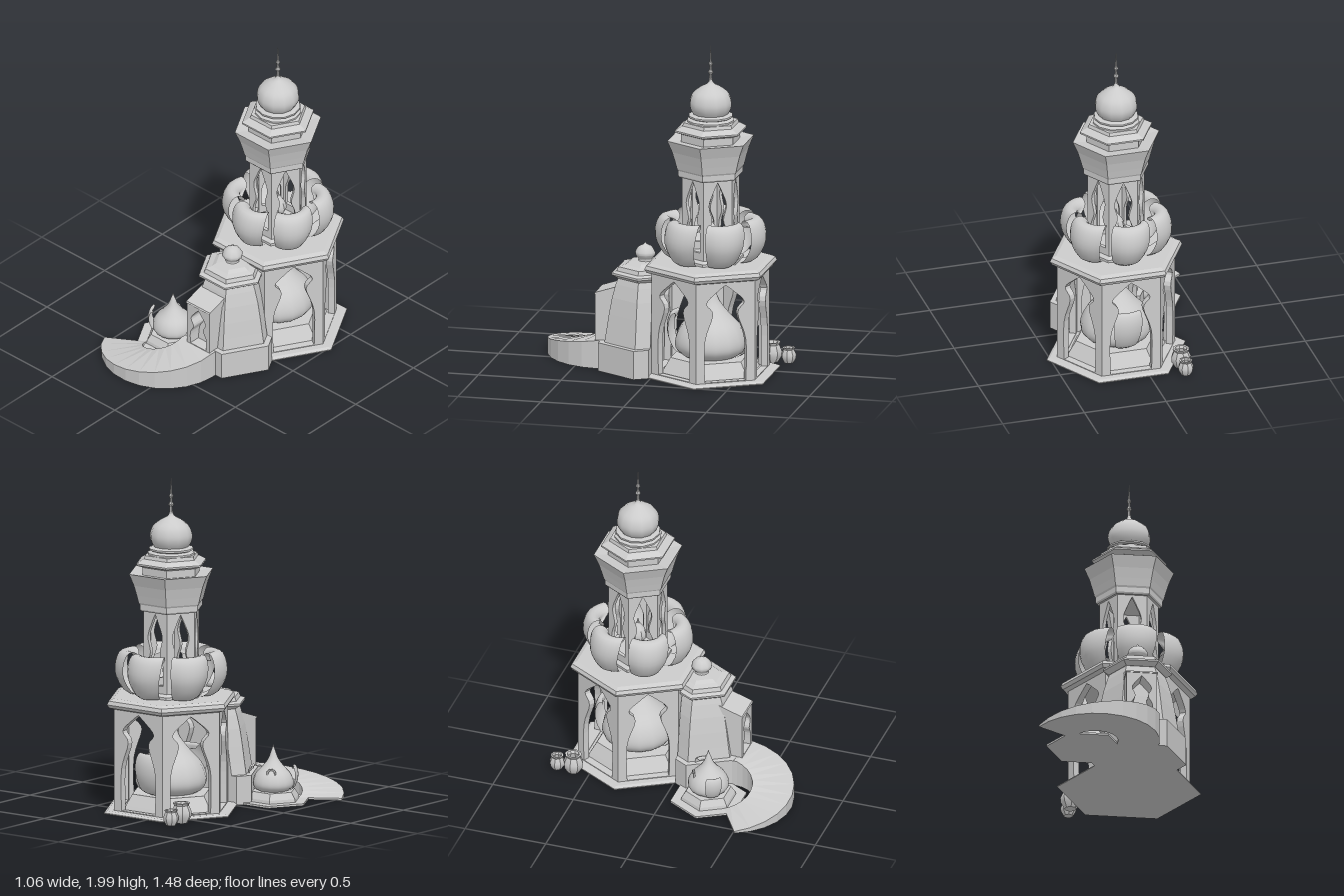
import * as THREE from 'three';
import { toCreasedNormals } from 'three/addons/utils/BufferGeometryUtils.js';

const flat = new THREE.MeshStandardMaterial({ color: 0xcccccc, flatShading: true, side: THREE.DoubleSide });
const smooth = new THREE.MeshStandardMaterial({ color: 0xcccccc, side: THREE.DoubleSide });
const v2 = (list) => list.map(([x, y]) => new THREE.Vector2(x, y));

function add(parent, name, geometry, material = flat) {
  const mesh = new THREE.Mesh(geometry, material);
  mesh.name = name;
  parent.add(mesh);
  return mesh;
}

function group(parent, name, x = 0, y = 0, z = 0) {
  const g = new THREE.Group();
  g.name = name;
  g.position.set(x, y, z);
  parent.add(g);
  return g;
}

// Six-sided solid of [radius, y] rings with corners on the x axis
const hex = (profile) => new THREE.LatheGeometry(v2(profile), 6, Math.PI / 6);

// Round solid through a smooth [radius, y] profile
function round(profile, sides = 12, steps = 20) {
  const pts = new THREE.SplineCurve(v2(profile)).getPoints(steps);
  pts.forEach((p) => { p.x = Math.max(p.x, 0); });
  return toCreasedNormals(new THREE.LatheGeometry(pts, sides), 0.7);
}

// Wall panel with a waisted, pointed arch; waist is its height as a fraction
function archPanel(width, y0, y1, half, bottom, top, waist, depth) {
  const shape = new THREE.Shape(v2([[-width / 2, y0], [width / 2, y0], [width / 2, y1], [-width / 2, y1]]));
  const rest = 1 - waist;
  const side = new THREE.SplineCurve(v2([
    [1, 0], [1, waist * 0.6], [0.6, waist], [0.92, waist + rest * 0.4], [0.4, waist + rest * 0.78], [0, 1],
  ])).getPoints(20).map((p) => new THREE.Vector2(Math.max(0, p.x) * half, bottom + p.y * (top - bottom)));
  const mirrored = side.slice(0, -1).reverse().map((p) => new THREE.Vector2(-p.x, p.y));
  shape.holes.push(new THREE.Path([...side, ...mirrored]));
  return new THREE.ExtrudeGeometry(shape, { depth, bevelEnabled: false });
}

function archedWalls(parent, name, radius, depth, ...arch) {
  const panel = archPanel(radius, ...arch, depth);
  panel.translate(0, 0, radius * Math.sqrt(0.75) - depth);
  for (let i = 0; i < 6; i++) add(parent, name, panel).rotation.y = i * Math.PI / 3;
}

// Curled petal: [radius, y] profile swept through a varying angle
function petalGeometry(profile, halfAngle, cup, lean) {
  const curve = new THREE.SplineCurve(v2(profile));
  const g = new THREE.PlaneGeometry(2, 1, 8, 18);
  const p = g.attributes.position;
  for (let i = 0; i < p.count; i++) {
    const u = p.getX(i), v = Math.min(1, Math.max(0, p.getY(i) + 0.5));
    const c = curve.getPoint(v);
    const width = halfAngle * (0.7 + 0.6 * v) * Math.sqrt(Math.max(0, 1 - v ** 3));
    const a = u * width + lean * v * v;
    const r = c.x - cup * u * u * (1 - 0.5 * v);
    p.setXYZ(i, Math.sin(a) * r, c.y, Math.cos(a) * r);
  }
  g.computeVertexNormals();
  return g;
}

// Pointed bud with curled sepals, for a body radius of 1
function bud(parent, name, x, y, z, scale, turn) {
  const g = group(parent, name, x, y, z);
  g.scale.setScalar(scale);
  g.rotation.y = turn;
  add(g, 'budBody', round([[0, 0], [0.65, 0], [0.95, 0.2], [1, 0.48], [0.85, 0.85], [0.52, 1.22], [0.27, 1.55], [0.13, 1.9], [0, 2.3]], 16, 32), smooth);
  const sepal = petalGeometry([[0.7, 0], [1.02, 0.15], [1.2, 0.55], [1.22, 0.95], [1.12, 1.22], [1.0, 1.2], [1.02, 1.05]], 0.38, 0.04, 0.1);
  for (const a of [0, Math.PI]) add(g, 'sepal', sepal, smooth).rotation.y = a;
  return g;
}

function addPavilion(parent) {
  const g = group(parent, 'pavilion', 0.1, 0, -0.305);
  add(g, 'floorSlab', hex([[0, 0], [0.425, 0], [0.425, 0.006], [0.405, 0.016], [0, 0.016]]));
  add(g, 'budPlinth', hex([[0.3, 0.015], [0.285, 0.04], [0.245, 0.105], [0, 0.105]]));
  bud(g, 'largeBud', 0, 0.1, 0, 0.21, 0);
  archedWalls(g, 'lowerArch', 0.36, 0.04, 0.01, 0.63, 0.125, 0.02, 0.605, 0.7);
  add(g, 'balcony', hex([[0, 0.62], [0.36, 0.62], [0.392, 0.63], [0.405, 0.65], [0.395, 0.672], [0.365, 0.685], [0, 0.685]]));

  // Ring of curled petals on the balcony
  const petal = petalGeometry([[0.19, 0.685], [0.27, 0.7], [0.325, 0.79], [0.33, 0.87], [0.305, 0.935], [0.26, 0.95], [0.225, 0.92], [0.235, 0.88]], 0.46, 0.045, 0.18);
  for (let i = 0; i < 6; i++) add(g, 'petal', petal, smooth).rotation.y = i * Math.PI / 3;

  // Open lantern storey
  add(g, 'lanternFoot', hex([[0.2, 0.68], [0.2, 0.7], [0.175, 0.715], [0, 0.715]]));
  archedWalls(g, 'upperArch', 0.175, 0.022, 0.69, 1.21, 0.058, 0.76, 1.185, 0.46);
  add(g, 'lamp', round([[0, 0.71], [0.035, 0.715], [0.02, 0.77], [0.05, 0.82], [0.04, 0.87], [0.012, 0.91], [0, 0.95]], 8), smooth);

  // Flared cornice and stepped roof
  add(g, 'cornice', hex([
    [0, 1.195], [0.19, 1.195], [0.198, 1.205], [0.198, 1.235], [0.205, 1.245], [0.217, 1.29], [0.235, 1.35], [0.265, 1.42],
    [0.255, 1.42], [0.18, 1.41], [0.18, 1.455], [0.22, 1.47], [0.22, 1.48], [0.185, 1.5], [0.172, 1.505], [0.165, 1.525], [0, 1.53]]));
  add(g, 'domeCollar', toCreasedNormals(new THREE.LatheGeometry(v2([
    [0.14, 1.52], [0.14, 1.535], [0.115, 1.545], [0.132, 1.552], [0.132, 1.562], [0.1, 1.572], [0, 1.572]]), 12), 0.5), smooth);
  add(g, 'dome', round([[0.1, 1.565], [0.12, 1.6], [0.126, 1.64], [0.108, 1.69], [0.06, 1.73], [0.02, 1.752], [0.008, 1.78]], 12), smooth);
  add(g, 'spire', new THREE.LatheGeometry(v2([
    [0.012, 1.75], [0.008, 1.805], [0.017, 1.82], [0.008, 1.835], [0.007, 1.855], [0.014, 1.87], [0.006, 1.885], [0.004, 1.93], [0, 1.99]]), 8));
}

function addPorch(parent) {
  const g = group(parent, 'porch', 0.1, 0, 0.09);
  // Cut the back of each hexagon flat where it meets the pavilion
  const cutHex = (profile) => {
    const geo = hex(profile), p = geo.attributes.position, back = 0.08;
    for (let i = 0; i < p.count; i++) {
      if (p.getZ(i) >= -back) continue;
      const x = p.getX(i);
      p.setX(i, Math.sign(x) * (2 * Math.abs(x) - back / Math.sqrt(3)));
      p.setZ(i, -back);
    }
    return geo;
  };
  add(g, 'porchBase', cutHex([[0, 0], [0.288, 0], [0.288, 0.172], [0, 0.172]]));
  add(g, 'porchBody', cutHex([[0.25, 0.17], [0.238, 0.24], [0.222, 0.34], [0.203, 0.44], [0.18, 0.52], [0.165, 0.56], [0, 0.56]]));
  add(g, 'porchRoof', cutHex([[0, 0.555], [0.17, 0.555], [0.205, 0.578], [0.205, 0.59], [0.175, 0.6], [0.165, 0.625], [0.125, 0.635], [0.1, 0.65], [0, 0.655]]));
  add(g, 'porchKnob', round([[0.055, 0.635], [0.04, 0.66], [0.058, 0.685], [0.06, 0.705], [0.04, 0.735], [0.012, 0.75], [0, 0.765]], 10), smooth);

  // Projecting doorway with a sloping hood
  const door = archPanel(0.18, 0.165, 0.45, 0.062, 0.172, 0.43, 0.5, 0.14);
  add(g, 'doorway', door).position.set(-0.01, 0, 0.145);
  const hood = new THREE.Shape(v2([[-0.29, 0.448], [-0.285, 0.458], [-0.13, 0.51], [-0.1, 0.51], [-0.1, 0.448]]));
  const hoodGeo = new THREE.ExtrudeGeometry(hood, { depth: 0.188, bevelEnabled: false });
  hoodGeo.rotateY(Math.PI / 2);
  add(g, 'doorHood', hoodGeo).position.x = -0.104;
}

// Curved ramp: a long box bent around an arc and sloped down to the ground
function addRamp(parent) {
  const n = 12, g = new THREE.BoxGeometry(1, 1, 1, n, 1, 1), p = g.attributes.position;
  for (let i = 0; i < p.count; i++) {
    const step = Math.round((p.getX(i) + 0.5) * n), t = Math.max(0, step - 1) / (n - 1);
    const inner = p.getZ(i) > 0;
    const a = t * (inner ? 3.05 : 2.74), r = inner ? 0.135 : 0.38;
    const y = p.getY(i) > 0 ? 0.17 - 0.158 * t : 0;
    p.setXYZ(i, -0.185 + Math.cos(a) * r, y, step === 0 ? 0.2 : 0.36 + Math.sin(a) * r);
  }
  add(parent, 'ramp', g);
}

function addBudHut(parent) {
  const g = group(parent, 'budHut', -0.23, 0, 0.245);
  add(g, 'hutSlab', hex([[0, 0], [0.228, 0], [0.228, 0.012], [0, 0.012]]));
  add(g, 'hutPlinth', hex([[0.165, 0.01], [0.16, 0.03], [0.135, 0.068], [0, 0.068]]));
  const hut = bud(g, 'smallBud', 0, 0.065, 0, 0.12, 2.1);
  // Round window set in the bud's upper side
  const window = add(hut, 'roundWindow', new THREE.TorusGeometry(0.2, 0.05, 6, 12), smooth);
  window.position.set(0.74, 0.95, 0);
  window.rotation.set(0, Math.PI / 2, 0.7);
}

function addJars(parent) {
  const profile = [[0, 0], [0.6, 0], [0.95, 0.6], [1, 1.1], [0.72, 1.75], [0.85, 2], [0.62, 2], [0.5, 1.75], [0.7, 1.1], [0, 0.5]];
  const jar = toCreasedNormals(new THREE.LatheGeometry(v2(profile), 8), 0.5);
  for (const [z, r] of [[-0.7, 0.046], [-0.6, 0.06]]) {
    const mesh = add(parent, 'jar', jar, smooth);
    mesh.position.set(-0.21, 0, z);
    mesh.scale.setScalar(r);
  }
}

export function createModel() {
  const model = new THREE.Group();
  model.name = 'gardenTower';
  addPavilion(model);
  addPorch(model);
  addRamp(model);
  addBudHut(model);
  addJars(model);
  return model;
}
